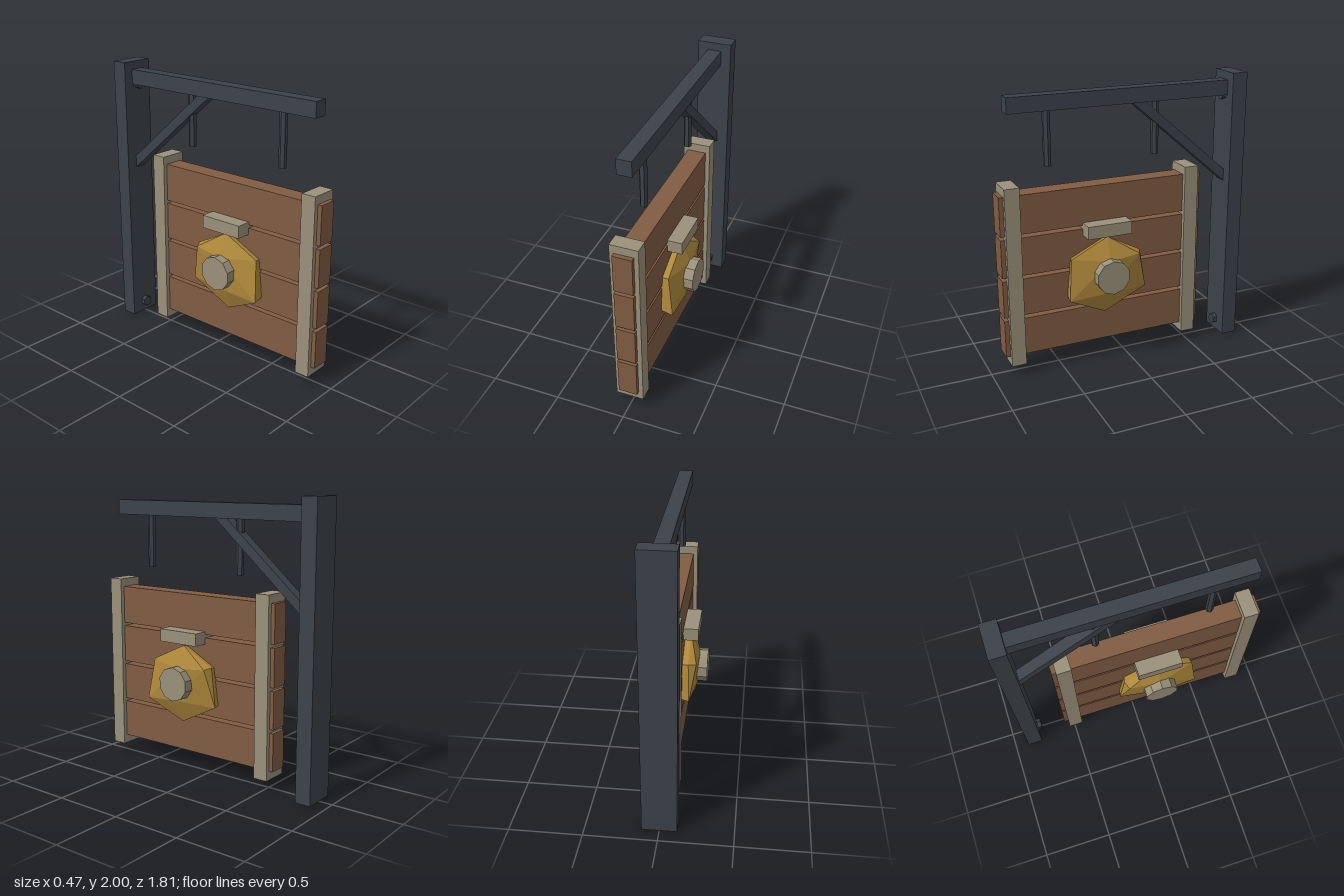
import * as THREE from 'three';
import { ConvexGeometry } from 'three/addons/geometries/ConvexGeometry.js';

function material(name, color) {
  const m = new THREE.MeshStandardMaterial({ color, flatShading: true });
  m.name = name;
  return m;
}

export function createModel() {
  const iron = material('darkIron', 0x3d424a);
  const wood = material('brownWood', 0x815c42);
  const pale = material('paleWood', 0x9a917a);
  const gold = material('gold', 0xae883b);

  const group = new THREE.Group();
  group.name = 'hangingSign';

  const add = (name, geometry, mat) => {
    const mesh = new THREE.Mesh(geometry, mat);
    mesh.name = name;
    group.add(mesh);
    return mesh;
  };

  // Box centred on x = 0, given by half width and its y and z ranges
  const box = (name, mat, hx, y0, y1, z0, z1) => {
    const mesh = add(name, new THREE.BoxGeometry(hx * 2, y1 - y0, z1 - z0), mat);
    mesh.position.set(0, (y0 + y1) / 2, (z0 + z1) / 2);
    return mesh;
  };

  // Post and overhanging beam
  box('post', iron, 0.12, 0, 2, -0.9, -0.788);
  box('beam', iron, 0.05, 1.837, 1.943, -0.79, 0.82);

  // Diagonal brace, its ends sunk into post and beam
  const a = new THREE.Vector2(-0.79, 1.25);
  const b = new THREE.Vector2(-0.11, 1.837);
  const d = b.clone().sub(a);
  const brace = add('brace', new THREE.BoxGeometry(0.08, 0.065, d.length() + 0.1), iron);
  brace.position.set(0, (a.y + b.y) / 2, (a.x + b.x) / 2);
  brace.rotation.x = -Math.atan2(d.y, d.x);

  // Hexagonal hanging rods
  for (const z of [0.543, -0.244]) {
    const geo = new THREE.CylinderGeometry(0.027, 0.027, 0.4, 6).rotateY(Math.PI / 2);
    add('hangingRod', geo, iron).position.set(0, 1.66, z);
  }

  // Bolts on the post
  for (const y of [0.085, 1.84]) {
    const geo = new THREE.CylinderGeometry(0.04, 0.04, 0.04, 6).rotateX(Math.PI / 2);
    add('bolt', geo, iron).position.set(0, y, -0.777);
  }

  // Sign planks and the upright battens holding them
  for (const [y0, y1] of [[0.147, 0.418], [0.443, 0.711], [0.735, 1.006], [1.03, 1.303]]) {
    box('plank', wood, 0.067, y0, y1, -0.573, 0.905);
  }
  for (const z of [0.822, -0.492]) {
    box('batten', pale, 0.098, 0.083, 1.362, z - 0.052, z + 0.052);
  }

  // Block above the emblem, running through the sign
  box('emblemBlock', pale, 0.173, 0.96, 1.05, 0.003, 0.325);

  // Faceted boss: six rim points and three raised points as [x, y, z]
  const rim = [
    [0.11, 0.94, 0.16], [0.115, 0.81, 0.43], [0.155, 0.52, 0.46],
    [0.1, 0.375, 0.18], [0.12, 0.53, -0.125], [0.11, 0.81, -0.085],
  ];
  const raised = [[0.182, 0.78, 0.17], [0.165, 0.8, -0.06], [0.173, 0.54, 0.22]];

  for (const side of [1, -1]) {
    const points = [...rim, ...raised].map(([x, y, z]) => new THREE.Vector3(x * side, y, z));
    // Back of the boss, narrowing into the planks
    for (const [, y, z] of rim) {
      points.push(new THREE.Vector3(0.05 * side, 0.66 + (y - 0.66) * 0.94, 0.17 + (z - 0.17) * 0.94));
    }
    add('goldBoss', new ConvexGeometry(points), gold);

    // Ten-sided knob in the middle of the boss
    const knob = new THREE.CylinderGeometry(0.122, 0.122, 0.12, 10)
      .rotateY(Math.PI / 2).rotateZ(Math.PI / 2);
    add('knob', knob, pale).position.set(0.176 * side, 0.678, 0.165);
  }

  return group;
}
